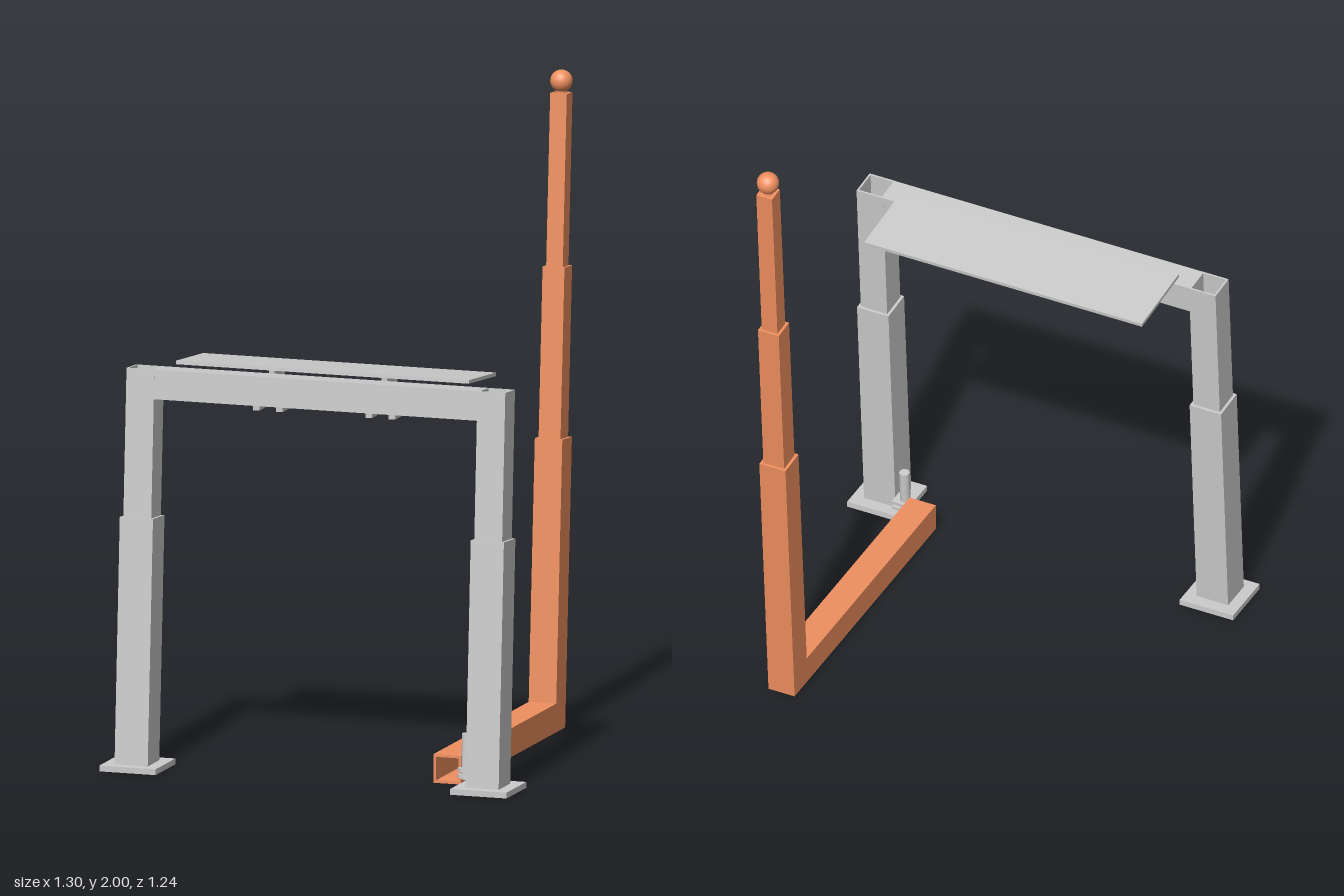
import * as THREE from 'three';

const grey = new THREE.MeshStandardMaterial({ color: 0xcccccc });
const orange = new THREE.MeshStandardMaterial({ color: 0xf09060 });

function add(parent, name, geometry, material, x = 0, y = 0, z = 0) {
  const mesh = new THREE.Mesh(geometry, material);
  mesh.name = name;
  mesh.position.set(x, y, z);
  parent.add(mesh);
  return mesh;
}

// Square outline, wound in either direction
function square(PathType, w) {
  const h = w / 2;
  return new PathType([[-h, -h], [h, -h], [h, h], [-h, h]].map(p => new THREE.Vector2(...p)));
}

// Open square tube running along +z from the origin
function tube(w, wall, length) {
  const shape = square(THREE.Shape, w);
  shape.holes.push(square(THREE.Path, w - 2 * wall));
  return new THREE.ExtrudeGeometry(shape, { depth: length, bevelEnabled: false });
}
const uprightTube = (w, wall, length) => tube(w, wall, length).rotateX(-Math.PI / 2);

// Plate drawn in (z, y) and given a thickness centred on x
function sidePlate(shape, thickness) {
  return new THREE.ExtrudeGeometry(shape, { depth: thickness, bevelEnabled: false, curveSegments: 20 })
    .translate(0, 0, -thickness / 2).rotateY(-Math.PI / 2);
}

export function createModel() {
  const model = new THREE.Group();
  model.name = 'tableFrame';

  // Leaning frame: telescopic legs joined by a cross beam
  const frame = new THREE.Group();
  frame.name = 'frame';
  frame.position.set(0, 0, 0.535);
  frame.rotation.x = -0.064;
  model.add(frame);
  for (const [side, s] of [['left', 1], ['right', -1]]) {
    add(frame, side + 'LowerLeg', uprightTube(0.106, 0.009, 0.755), grey, s * 0.56, 0.012, 0);
    add(frame, side + 'UpperLeg', uprightTube(0.089, 0.006, 0.52), grey, s * 0.56, 0.7, 0);
    add(model, side + 'Foot', new THREE.BoxGeometry(0.18, 0.018, 0.18), grey, s * 0.56, 0.009, 0.53);
  }
  add(frame, 'crossBeam', new THREE.BoxGeometry(1.032, 0.09, 0.088), grey, 0, 1.175, 0);

  // Tilting top plate
  const top = add(model, 'topPlate', new THREE.BoxGeometry(0.935, 0.011, 0.25), grey, -0.0025, 1.222, 0.31);
  top.rotation.x = -0.09;

  // Hinges: two lugs on the beam, one on the plate, joined by a pin
  const hz = 0.336, hy = 1.145, r = 0.046;
  const beamLug = new THREE.Shape();
  beamLug.moveTo(0.42, hy - r);
  beamLug.lineTo(0.42, hy + r);
  beamLug.lineTo(hz, hy + r);
  beamLug.absarc(hz, hy, r, Math.PI / 2, Math.PI * 1.5, false);
  const plateLug = new THREE.Shape();
  plateLug.moveTo(0.383, 1.223);
  plateLug.lineTo(hz + r, hy);
  plateLug.absarc(hz, hy, r, 0, Math.PI, true);
  plateLug.lineTo(0.289, 1.215);
  for (const x of [-0.182, 0.177]) {
    const hinge = new THREE.Group();
    hinge.name = 'hinge';
    hinge.position.x = x;
    model.add(hinge);
    for (const dx of [-0.037, 0.037]) add(hinge, 'beamLug', sidePlate(beamLug, 0.02), grey, dx);
    add(hinge, 'plateLug', sidePlate(plateLug, 0.018), grey);
    add(hinge, 'hingePin', new THREE.CylinderGeometry(0.018, 0.018, 0.098, 20).rotateZ(Math.PI / 2), grey, 0, hy, hz);
  }

  // Pivot pin beside the left leg
  const pivot = new THREE.Group();
  pivot.name = 'pivot';
  pivot.position.set(0.474, 0, 0.485);
  pivot.rotation.x = -0.064;
  model.add(pivot);
  add(pivot, 'pivotPin', new THREE.CylinderGeometry(0.016, 0.016, 0.14, 20), grey, 0, 0.093, 0);
  for (const y of [0.033, 0.052]) {
    add(pivot, 'pivotLug', new THREE.CylinderGeometry(0.027, 0.027, 0.011, 24), grey, 0, y, 0);
    add(pivot, 'pivotLugArm', new THREE.BoxGeometry(0.034, 0.011, 0.05), grey, 0.017, y, 0);
  }

  // Swinging arm: open floor tube and a telescopic leaning post
  const arm = new THREE.Group();
  arm.name = 'arm';
  arm.position.x = 0.404;
  model.add(arm);
  add(arm, 'floorTube', tube(0.088, 0.008, 0.953), orange, 0, 0.044, -0.495);
  const post = new THREE.Group();
  post.name = 'post';
  post.position.z = -0.452;
  post.rotation.x = -0.07;
  arm.add(post);
  const sections = [[0.088, 0.009, 0.003, 0.887], [0.07, 0.0085, 0.8, 1.408], [0.053, 0.006, 1.33, 1.935]];
  for (const [w, wall, from, to] of sections) {
    add(post, 'postSection', uprightTube(w, wall, to - from), orange, 0, from, 0);
  }
  add(post, 'postCap', new THREE.BoxGeometry(0.044, 0.01, 0.044), orange, 0, 1.929, 0);
  add(post, 'ballNeck', new THREE.CylinderGeometry(0.016, 0.016, 0.03, 20), orange, 0, 1.945, 0);
  add(arm, 'ball', new THREE.SphereGeometry(0.034, 32, 20), orange, 0, 1.966, -0.588);

  return model;
}
